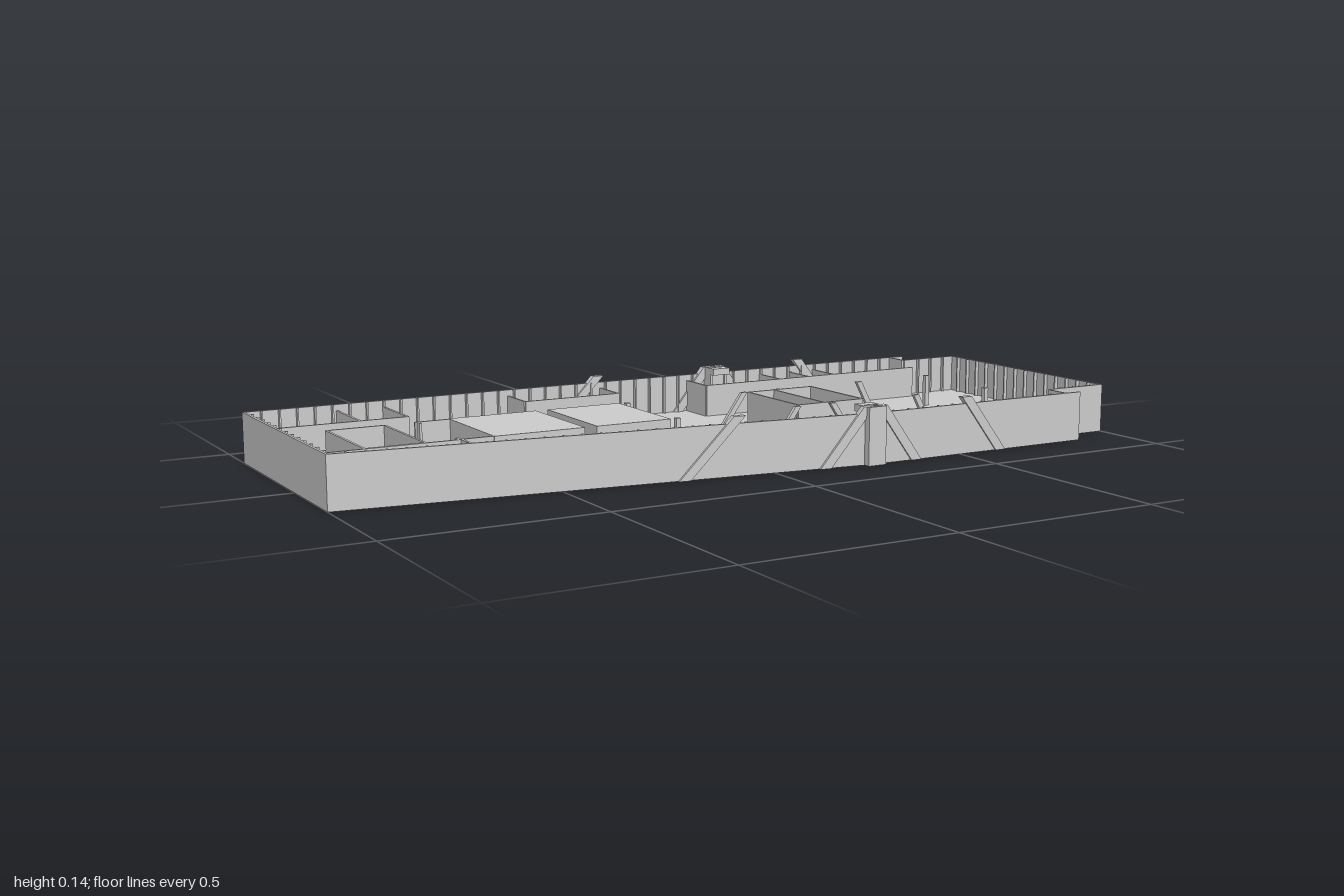
import * as THREE from 'three';

const H = 0.12;        // outer wall height
const SLAB = 0.025;    // floor thickness
const CORE = 0.105;    // top of inner rooms
const CAP = 0.137;     // top of braces and columns

export function createModel() {
  const model = new THREE.Group();
  model.name = 'buildingStorey';
  const mat = new THREE.MeshStandardMaterial({ color: 0xcccccc, flatShading: true, side: THREE.DoubleSide });

  const add = (name, geo, parent = model) => {
    const m = new THREE.Mesh(geo, mat);
    m.name = name;
    parent.add(m);
    return m;
  };
  // Box given by its limits
  const block = (name, x0, x1, y0, y1, z0, z1, parent = model) => {
    const m = add(name, new THREE.BoxGeometry(x1 - x0, y1 - y0, z1 - z0), parent);
    m.position.set((x0 + x1) / 2, (y0 + y1) / 2, (z0 + z1) / 2);
    return m;
  };

  // Floor slab with notches at the columns and shaft openings
  const outline = [
    [-0.998, -0.373], [0.23, -0.373], [0.23, -0.355], [0.27, -0.355], [0.27, -0.373],
    [0.83, -0.373], [0.83, -0.308], [0.998, -0.308], [0.998, 0.298], [0.83, 0.298],
    [0.83, 0.363], [0.27, 0.363], [0.27, 0.345], [0.23, 0.345], [0.23, 0.361], [-0.998, 0.213],
  ];
  const floor = new THREE.Shape(outline.map(([x, z]) => new THREE.Vector2(x, z)));
  const hole = (x0, x1, z0, z1) => floor.holes.push(new THREE.Path(
    [[x0, z0], [x0, z1], [x1, z1], [x1, z0]].map(([x, z]) => new THREE.Vector2(x, z))));
  hole(-0.88, -0.75, -0.125, 0.115);
  hole(-0.66, -0.595, -0.125, 0.115);
  hole(0.215, 0.285, -0.12, 0.1);
  const slab = new THREE.ExtrudeGeometry(floor, { depth: SLAB, bevelEnabled: false });
  slab.rotateX(Math.PI / 2).translate(0, SLAB, 0);
  add('floorSlab', slab);

  // Outer wall between two outline points, with mullions on its inner side
  const outerWall = (x0, z0, x1, z1, ribs = true) => {
    const len = Math.hypot(x1 - x0, z1 - z0), t = 0.006;
    const g = new THREE.Group();
    g.name = 'outerWall';
    g.position.set(x0, 0, z0);
    g.rotation.y = -Math.atan2(z1 - z0, x1 - x0);
    block('wallPanel', 0, len, 0, H, 0, t, g);
    const n = Math.round(len / 0.042);
    for (let i = 1; ribs && i < n; i++) {
      const x = (len * i) / n;
      block('mullion', x - 0.002, x + 0.002, SLAB, H, t, t + 0.009, g);
    }
    model.add(g);
  };
  outerWall(-1, -0.375, 0.23, -0.375);
  outerWall(0.27, -0.375, 0.83, -0.375);
  outerWall(0.83, -0.375, 0.87, -0.375, false);
  outerWall(0.83, -0.375, 0.83, -0.31, false);
  outerWall(0.83, -0.31, 1, -0.31);
  outerWall(1, -0.31, 1, 0.3);
  outerWall(1, 0.3, 0.83, 0.3);
  outerWall(0.83, 0.3, 0.83, 0.365, false);
  outerWall(0.87, 0.365, 0.83, 0.365, false);
  outerWall(0.83, 0.365, 0.27, 0.365);
  outerWall(0.23, 0.363, -1, 0.215);
  outerWall(-1, 0.215, -1, -0.375);

  // Channel-shaped columns in the long walls
  for (const s of [-1, 1]) {
    const plate = (name, x0, x1, za, zb) =>
      block(name, x0, x1, 0, CAP, Math.min(s * za, s * zb), Math.max(s * za, s * zb));
    plate('columnSide', 0.226, 0.232, 0.335, 0.38);
    plate('columnSide', 0.268, 0.274, 0.335, 0.38);
    plate('columnOuterPlate', 0.232, 0.268, 0.375, 0.38);
    plate('columnInnerPlate', 0.232, 0.268, 0.34, 0.346);
    block('columnCap', 0.226, 0.274, H, CAP, s * 0.333 - 0.013, s * 0.333 + 0.013);
  }

  // Slanted braces cut level at floor and top
  const brace = (xBottom, xTop, z, top, w, depth, turn = 0) => {
    const mid = (xBottom + xTop) / 2, a = xBottom - mid, b = xTop - mid;
    const s = new THREE.Shape([[a - w, 0], [a + w, 0], [b + w, top], [b - w, top]]
      .map(([x, y]) => new THREE.Vector2(x, y)));
    const geo = new THREE.ExtrudeGeometry(s, { depth, bevelEnabled: false });
    const m = add('brace', geo.translate(0, 0, -depth / 2));
    m.position.set(mid, 0, z);
    m.rotation.y = turn;
  };
  const wallTurn = -Math.atan2(0.148, 1.23);
  for (const [xb, xt] of [[-0.22, -0.088], [0.125, 0.235], [0.37, 0.27], [0.62, 0.515]]) {
    const onSlope = xt < 0.25;
    const zFront = onSlope ? 0.361 + ((xb + xt) / 2 - 0.23) * 0.1203 : 0.361;
    brace(xb, xt, -0.371, CAP, 0.014, 0.016);
    brace(xb, xt, zFront, CAP, 0.014, 0.016, onSlope ? wallTurn : 0);
  }
  // Inner rows of braces and posts
  for (const z of [-0.127, 0.12]) {
    for (const [xb, xt] of [[0.125, 0.2], [0.37, 0.3], [0.605, 0.55]]) brace(xb, xt, z, CORE, 0.008, 0.01);
    for (const x of [-0.13, 0.77]) block('post', x - 0.006, x + 0.006, 0.01, CORE, z - 0.006, z + 0.006);
  }

  // Closed core blocks
  block('coreBlock', -0.59, -0.37, 0.02, CORE, -0.135, 0.125);
  block('coreBlock', -0.34, -0.15, 0.02, CORE, -0.135, 0.125);

  // Thin inner walls
  const T = 0.003;
  const wallX = (x0, x1, z) => block('innerWall', x0, x1, 0.01, CORE, z - T, z + T);
  const wallZ = (x, z0, z1) => block('innerWall', x - T, x + T, 0.01, CORE, z0, z1);
  const openBox = (x0, x1, z0, z1) => {
    wallX(x0, x1, z0);
    wallX(x0, x1, z1);
    wallZ(x0, z0, z1);
    wallZ(x1, z0, z1);
  };
  // Shafts
  openBox(-0.883, -0.747, -0.128, 0.118);
  openBox(0.212, 0.4, -0.123, 0.104);
  wallZ(0.288, -0.123, 0.104);
  // Stair entrance stubs
  for (const z of [-0.13, 0.12]) wallX(-0.675, -0.59, z);
  wallZ(-0.668, -0.135, -0.11);
  wallZ(-0.668, 0.1, 0.125);
  // Rooms at the narrow end
  wallX(-0.995, -0.66, -0.21);
  wallZ(-0.66, -0.37, -0.21);
  wallZ(-0.775, -0.37, -0.21);
  wallX(-0.995, -0.66, 0.122);
  wallZ(-0.665, 0.122, 0.25);
  // Rooms along the back wall
  wallX(-0.335, -0.08, -0.27);
  wallZ(-0.335, -0.37, -0.27);
  wallZ(-0.08, -0.37, -0.27);
  wallX(0.175, 0.83, -0.27);
  for (const x of [0.175, 0.4, 0.49, 0.57]) wallZ(x, -0.37, -0.27);

  return model;
}
